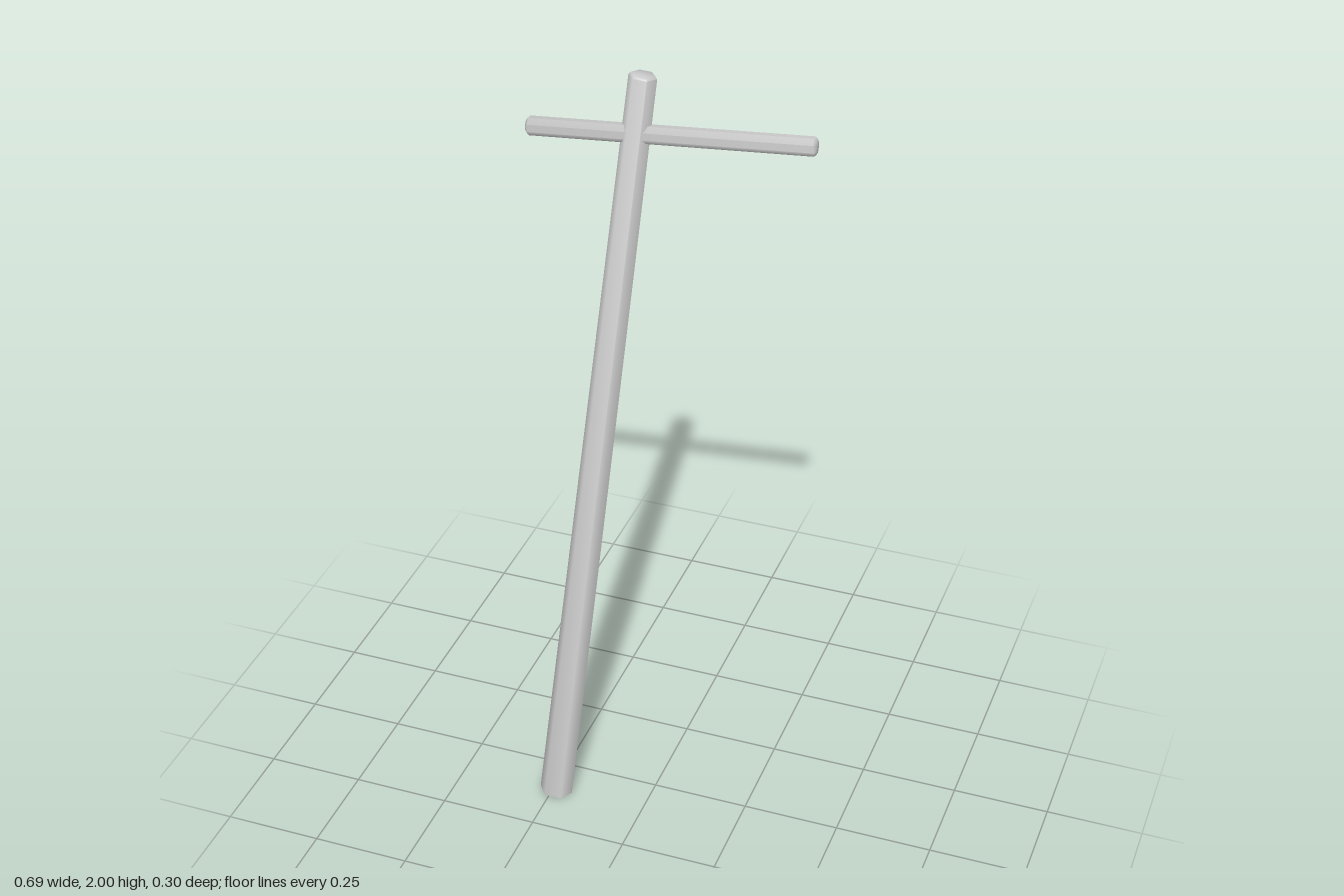
import * as THREE from 'three';
import { toCreasedNormals } from 'three/addons/utils/BufferGeometryUtils.js';

// Tapered rod from a to b; bevelA and bevelB chamfer its two ends
function rod(name, a, b, rA, rB, sides, turn, bevelA, bevelB) {
  const axis = b.clone().sub(a);
  const len = axis.length();
  const profile = [
    [0, 0], [rA - bevelA, 0], [rA, bevelA],
    [rB, len - bevelB], [rB - bevelB, len], [0, len],
  ].map(([r, y]) => new THREE.Vector2(r, y))
    .filter((p, i, all) => i === 0 || p.distanceTo(all[i - 1]) > 1e-5);

  const geometry = toCreasedNormals(new THREE.LatheGeometry(profile, sides).rotateY(turn), 1.13);
  const mesh = new THREE.Mesh(geometry, new THREE.MeshStandardMaterial({ color: 0xcccccc }));
  mesh.name = name;
  mesh.position.copy(a);
  mesh.quaternion.setFromUnitVectors(new THREE.Vector3(0, 1, 0), axis.normalize());
  return mesh;
}

export function createModel() {
  const group = new THREE.Group();
  group.name = 'leaningPole';

  // Leaning six-sided pole, thinner at the top
  group.add(rod('pole',
    new THREE.Vector3(-0.239, 0.005, 0.111), new THREE.Vector3(-0.07, 1.996, -0.109),
    0.043, 0.034, 6, Math.PI / 6 + 0.1, 0, 0.005));

  // Slanted crossbar near the top
  group.add(rod('crossbar',
    new THREE.Vector3(-0.342, 1.842, -0.067), new THREE.Vector3(0.342, 1.873, -0.131),
    0.023, 0.023, 8, Math.PI / 8, 0.006, 0.006));

  return group;
}
